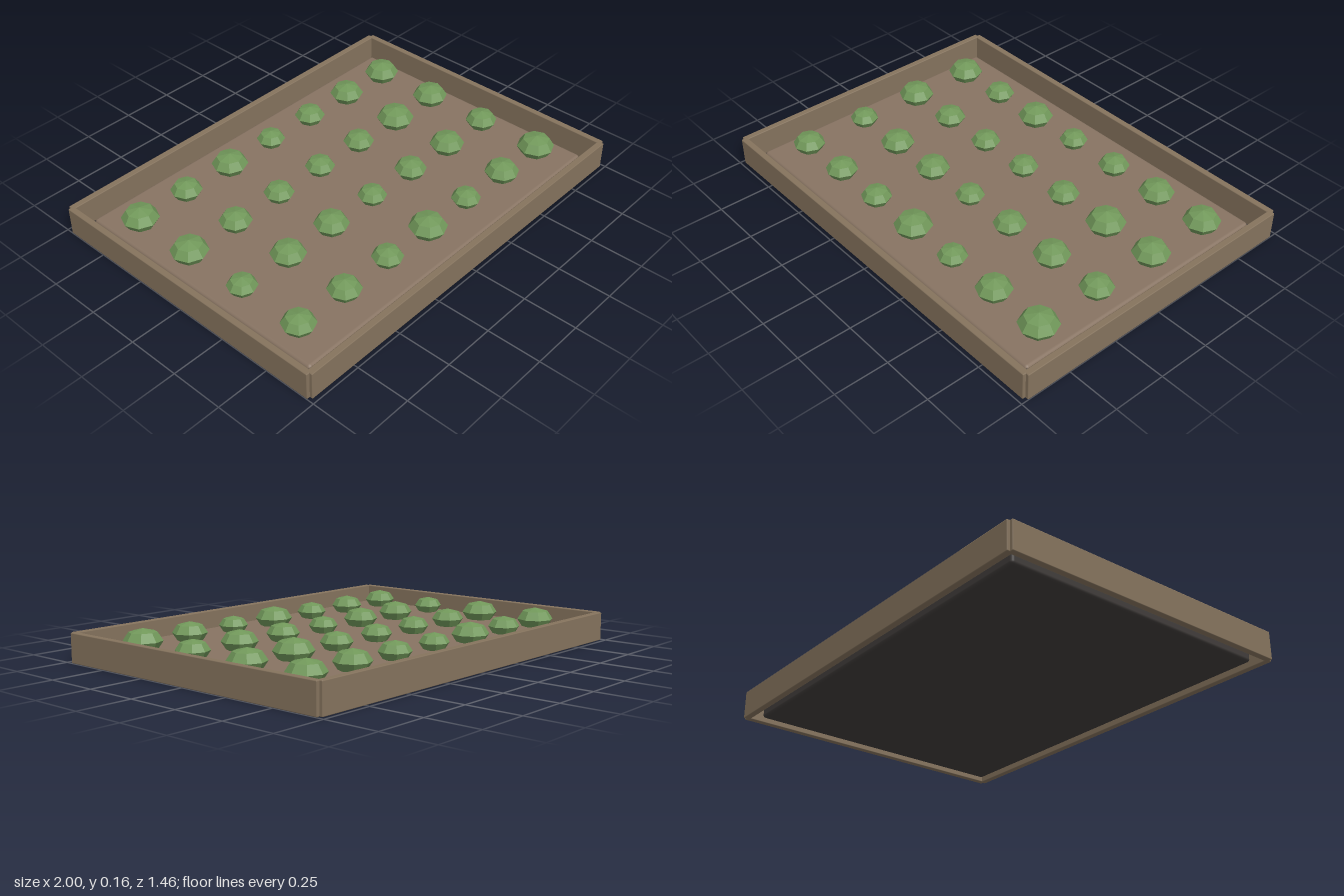
import * as THREE from 'three';
import { RoundedBoxGeometry } from 'three/addons/geometries/RoundedBoxGeometry.js';

export function createModel() {
  const model = new THREE.Group();
  model.name = 'gardenBed';

  const material = (name, color, flatShading = false) => {
    const m = new THREE.MeshStandardMaterial({ color, flatShading });
    m.name = name;
    return m;
  };
  const wood = material('wood', 0x85735d);
  const earth = material('soil', 0x877362);
  const liner = material('darkLiner', 0x403c3a);
  const leaf = material('leaf', 0x71985a, true);

  const add = (name, geometry, mat, x, y, z, parent = model) => {
    const mesh = new THREE.Mesh(geometry, mat);
    mesh.name = name;
    mesh.position.set(x, y, z);
    parent.add(mesh);
    return mesh;
  };

  // Four boards around the bed, with softened edges and small stepped corners
  const height = 0.134;
  const longBoard = new RoundedBoxGeometry(1.97, height, 0.031, 1, 0.004);
  const shortBoard = new RoundedBoxGeometry(0.03, height, 1.436, 1, 0.004);
  add('frontBoard', longBoard, wood, 0, height / 2, 0.7165);
  add('backBoard', longBoard, wood, 0, height / 2, -0.7165);
  add('leftBoard', shortBoard, wood, 0.985, height / 2, 0);
  add('rightBoard', shortBoard, wood, -0.985, height / 2, 0);

  // Dark tray standing free of the boards, with the soil rising out of it
  add('tray', new RoundedBoxGeometry(1.857, 0.054, 1.327, 3, 0.014), liner, 0, 0.027, 0);
  add('soil', new RoundedBoxGeometry(1.84, 0.046, 1.31, 3, 0.016), earth, 0, 0.042, 0);

  // Rows of faceted plants, from back to front
  const plants = new THREE.Group();
  plants.name = 'plants';
  model.add(plants);
  const radii = [
    [0.085, 0.073, 0.085, 0.067, 0.073, 0.082, 0.085],
    [0.085, 0.075, 0.070, 0.070, 0.073, 0.090, 0.085],
    [0.067, 0.080, 0.080, 0.067, 0.075, 0.082, 0.075],
    [0.075, 0.075, 0.070, 0.087, 0.067, 0.080, 0.088],
  ];
  const plantShape = new THREE.SphereGeometry(1, 8, 4);
  radii.forEach((row, j) => row.forEach((r, i) => {
    const plant = add('plant', plantShape, leaf, (i - 3) * 0.266, 0.1, (j - 1.5) * 0.32, plants);
    plant.scale.set(r, r * 0.63, r);
  }));

  return model;
}
